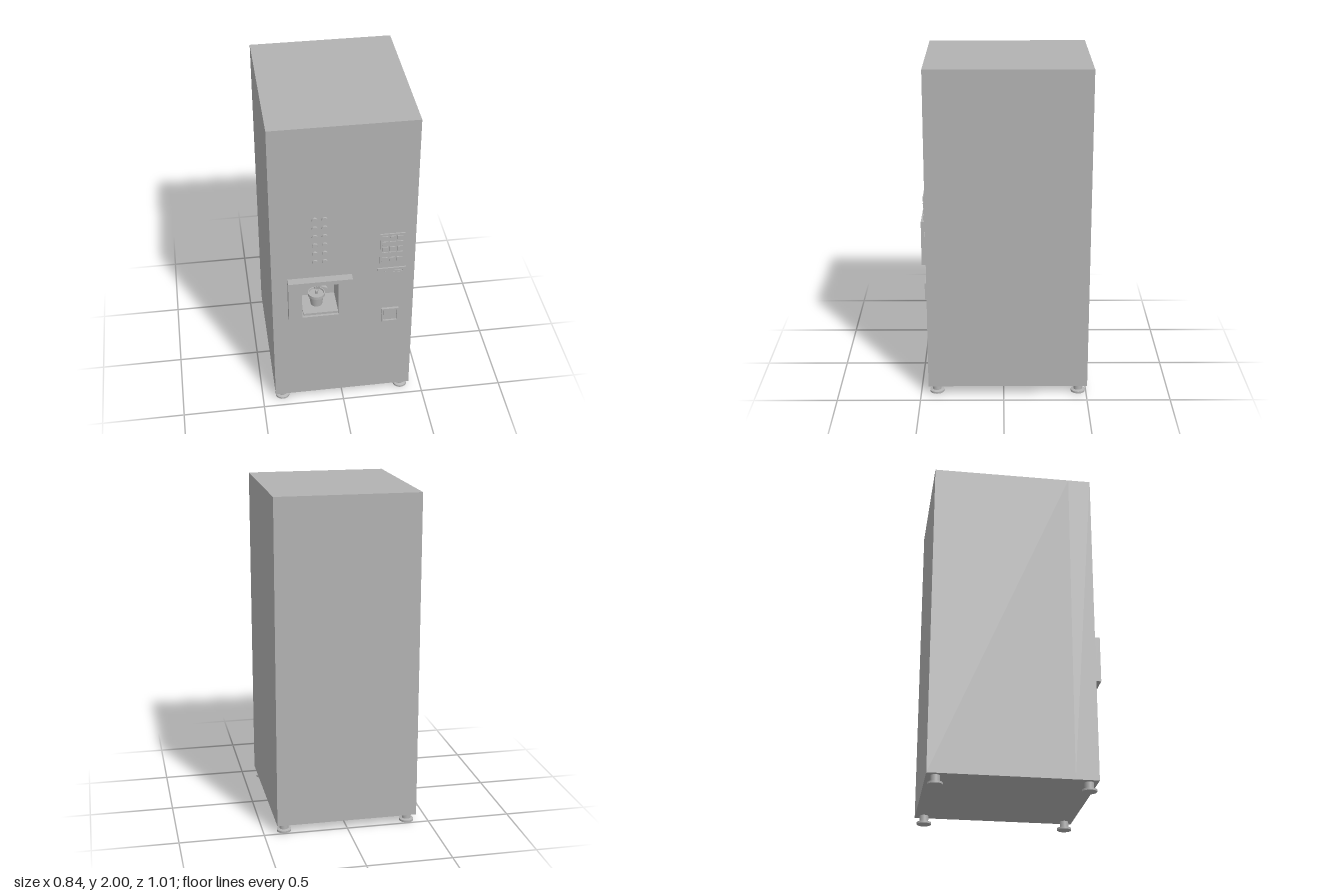
import * as THREE from 'three';

const grey = new THREE.MeshStandardMaterial({ color: 0xb2b2b2 });
grey.name = 'grey';
const greyThin = grey.clone();
greyThin.name = 'grey leaf';
greyThin.side = THREE.DoubleSide;

export function createModel() {
  const model = new THREE.Group();
  model.name = 'vendingMachine';

  const add = (name, geo, x = 0, y = 0, z = 0, parent = model, mat = grey) => {
    const m = new THREE.Mesh(geo, mat);
    m.name = name;
    m.position.set(x, y, z);
    parent.add(m);
    return m;
  };
  // Box given by its limits
  const box = (name, x0, x1, y0, y1, z0, z1) =>
    add(name, new THREE.BoxGeometry(x1 - x0, y1 - y0, z1 - z0), (x0 + x1) / 2, (y0 + y1) / 2, (z0 + z1) / 2);
  // Rectangular slab with a rectangular hole through it
  const rect = (P, [x0, x1, y0, y1]) =>
    new P().moveTo(x0, y0).lineTo(x1, y0).lineTo(x1, y1).lineTo(x0, y1).closePath();
  const frame = (name, outer, hole, z0, z1) => {
    const s = rect(THREE.Shape, outer);
    s.holes.push(rect(THREE.Path, hole));
    return add(name, new THREE.ExtrudeGeometry(s, { depth: z1 - z0, bevelEnabled: false }), 0, 0, z0);
  };

  // Cabinet, with the serving bay cut into its front
  const bay = [-0.25, -0.035, 0.715, 0.948];
  box('cabinet', -0.422, 0.422, 0.053, 2, -0.505, 0.32);
  frame('cabinetFront', [-0.422, 0.422, 0.053, 2], bay, 0.32, 0.455);
  frame('bayHood', [-0.33, 0.05, 0.693, 0.975], bay, 0.455, 0.505);
  box('bayTray', -0.242, -0.035, 0.715, 0.73, 0.32, 0.49);

  // Levelling feet
  const footProfile = [[0, 0], [0.043, 0], [0.043, 0.012], [0.026, 0.017], [0.026, 0.055], [0, 0.055]]
    .map(([r, y]) => new THREE.Vector2(r, y));
  // Separate segments keep the rims of the foot sharp
  const lathe = (name, pts, x, y, z, seg = 24, parent = model) => {
    const g = new THREE.Group();
    g.name = name;
    g.position.set(x, y, z);
    for (let i = 0; i < pts.length - 1; i++)
      add(name + 'Ring', new THREE.LatheGeometry([pts[i], pts[i + 1]], seg), 0, 0, 0, g);
    parent.add(g);
  };
  for (const x of [-0.375, 0.375])
    for (const z of [-0.452, 0.405]) lathe('foot', footProfile, x, 0, z);

  // Selection buttons
  const button = new THREE.CylinderGeometry(0.016, 0.017, 0.01, 20).rotateX(Math.PI / 2);
  for (const x of [-0.166, -0.109])
    for (let r = 0; r < 6; r++) add('selectionButton', button, x, 1.39 - r * 0.0605, 0.46);

  // Keypad
  box('keypadPlate', 0.213, 0.357, 1.04, 1.25, 0.455, 0.463);
  const key = new THREE.BoxGeometry(0.034, 0.03, 0.007);
  for (let c = 0; c < 3; c++)
    for (let r = 0; r < 5; r++) add('key', key, 0.241 + c * 0.044, 1.222 - r * 0.0385, 0.4655);

  // Coin panel with slot and small buttons
  frame('coinPanel', [0.202, 0.371, 0.953, 1.0], [0.295, 0.352, 0.969, 0.985], 0.455, 0.464);
  box('coinSlotFlap', 0.303, 0.345, 0.969, 0.979, 0.455, 0.462);
  const knob = new THREE.CylinderGeometry(0.006, 0.006, 0.006, 12).rotateX(Math.PI / 2);
  add('coinRelease', knob, 0.245, 0.977, 0.466);

  // Coin return
  frame('coinReturnFrame', [0.233, 0.335, 0.588, 0.69], [0.243, 0.325, 0.598, 0.68], 0.455, 0.47);
  box('coinReturnFlap', 0.247, 0.321, 0.602, 0.676, 0.455, 0.463);

  // Potted plant in the bay
  const plant = new THREE.Group();
  plant.name = 'pottedPlant';
  plant.position.set(-0.153, 0.73, 0.4);
  model.add(plant);
  const potProfile = [[0, 0], [0.035, 0], [0.044, 0.066], [0.051, 0.066], [0.051, 0.084], [0.045, 0.084], [0.044, 0.074], [0, 0.074]]
    .map(([r, y]) => new THREE.Vector2(r, y));
  lathe('pot', potProfile, 0, 0, 0, 20, plant);

  // Leaf: arched, pointed strip starting at its stalk and growing along +x
  const leafGeo = (len, width, rise, droop) => {
    const g = new THREE.PlaneGeometry(1, 1, 8, 2);
    const p = g.attributes.position;
    for (let i = 0; i < p.count; i++) {
      const t = p.getX(i) + 0.5, v = p.getY(i) * 2;
      const w = width * Math.sin(Math.PI * Math.pow(t, 0.8));
      p.setXYZ(i, len * t, rise * t - droop * t * t + Math.abs(v) * w * 0.25, v * w);
    }
    g.computeVertexNormals();
    return g;
  };
  const shoots = [
    // tip x, y, z of the stem, leaf angle, length, rise, droop
    [-0.012, 0.135, 0.006, Math.PI, 0.042, 0.03, 0.03],
    [0.02, 0.13, 0.004, -0.2, 0.05, 0.02, 0.035],
    [0.006, 0.165, 0, 0.5, 0.036, 0.018, 0.012],
    [0.004, 0.162, 0, 2.8, 0.032, 0.02, 0.01],
    [0.004, 0.13, -0.012, 1.6, 0.036, 0.03, 0.02],
    [0.0, 0.12, 0.014, -1.7, 0.034, 0.03, 0.025],
  ];
  for (const [x, y, z, a, len, rise, droop] of shoots) {
    const path = new THREE.QuadraticBezierCurve3(
      new THREE.Vector3(x * 0.2, 0.07, z * 0.2), new THREE.Vector3(x * 0.2, y * 0.8, z * 0.3), new THREE.Vector3(x, y, z));
    add('stem', new THREE.TubeGeometry(path, 8, 0.0045, 7), 0, 0, 0, plant);
    add('leaf', leafGeo(len, 0.012, rise, droop), x, y, z, plant, greyThin).rotation.y = a;
  }
  return model;
}
